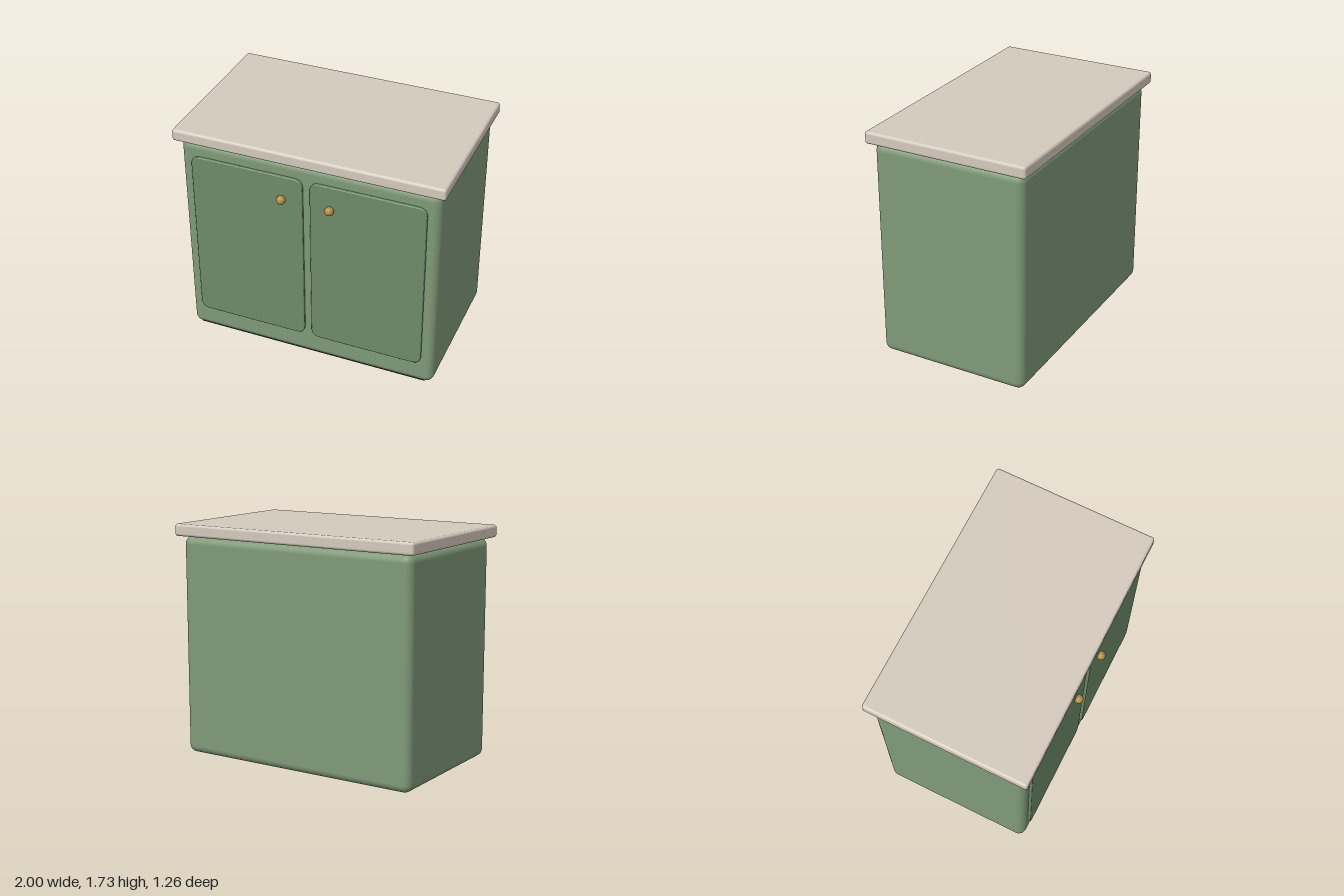
import * as THREE from 'three';
import { RoundedBoxGeometry } from 'three/addons/geometries/RoundedBoxGeometry.js';

const paint = (color) => new THREE.MeshStandardMaterial({ color });

// Rounded box given by its minimum and maximum corners
function roundedBox(name, min, max, radius, material) {
  const size = max.map((v, i) => v - min[i]);
  const mesh = new THREE.Mesh(new RoundedBoxGeometry(...size, 5, radius), material);
  mesh.position.set(...max.map((v, i) => (v + min[i]) / 2));
  mesh.name = name;
  return mesh;
}

// Upright panel with rounded corners and a softly bevelled front edge
function panelGeometry(w, h, r, depth, bevel) {
  const x = w / 2 - bevel, y = h / 2 - bevel, s = new THREE.Shape();
  s.moveTo(-x + r, -y);
  s.lineTo(x - r, -y).quadraticCurveTo(x, -y, x, -y + r);
  s.lineTo(x, y - r).quadraticCurveTo(x, y, x - r, y);
  s.lineTo(-x + r, y).quadraticCurveTo(-x, y, -x, y - r);
  s.lineTo(-x, -y + r).quadraticCurveTo(-x, -y, -x + r, -y);
  return new THREE.ExtrudeGeometry(s, {
    depth: depth - 2 * bevel, bevelEnabled: true, bevelSize: bevel,
    bevelThickness: bevel, bevelSegments: 3, curveSegments: 6,
  }).translate(0, 0, bevel);
}

export function createModel() {
  const group = new THREE.Group();
  const green = paint(0x809a79), doorGreen = paint(0x6e8a68);
  const stone = paint(0xd4cabd), brass = paint(0xb08d48), dark = paint(0x2a2a26);

  // Cabinet body and countertop
  group.add(roundedBox('cabinetBody', [-0.96, 0, -0.59], [0.96, 1.64, 0.56], 0.06, green));
  group.add(roundedBox('countertop', [-1, 1.64, -0.63], [1, 1.73, 0.6], 0.02, stone));

  // Recessed strip under the front edge
  const toeKick = new THREE.Mesh(new THREE.BoxGeometry(1.8, 0.06, 0.1), dark);
  toeKick.position.set(0, 0.034, 0.488);
  toeKick.name = 'toeKick';
  group.add(toeKick);

  // Mirrored doors, each with a round knob
  const doorGeometry = panelGeometry(0.845, 1.345, 0.06, 0.06, 0.008);
  const knobGeometry = new THREE.SphereGeometry(0.033, 24, 16);
  for (const [side, label] of [[-1, 'right'], [1, 'left']]) {
    const door = new THREE.Mesh(doorGeometry, doorGreen);
    door.position.set(side * 0.45, 0.8575, 0.52);
    door.name = label + 'Door';
    const knob = new THREE.Mesh(knobGeometry, brass);
    knob.position.set(side * 0.18, 1.35, 0.597);
    knob.name = label + 'Knob';
    group.add(door, knob);
  }
  return group;
}
